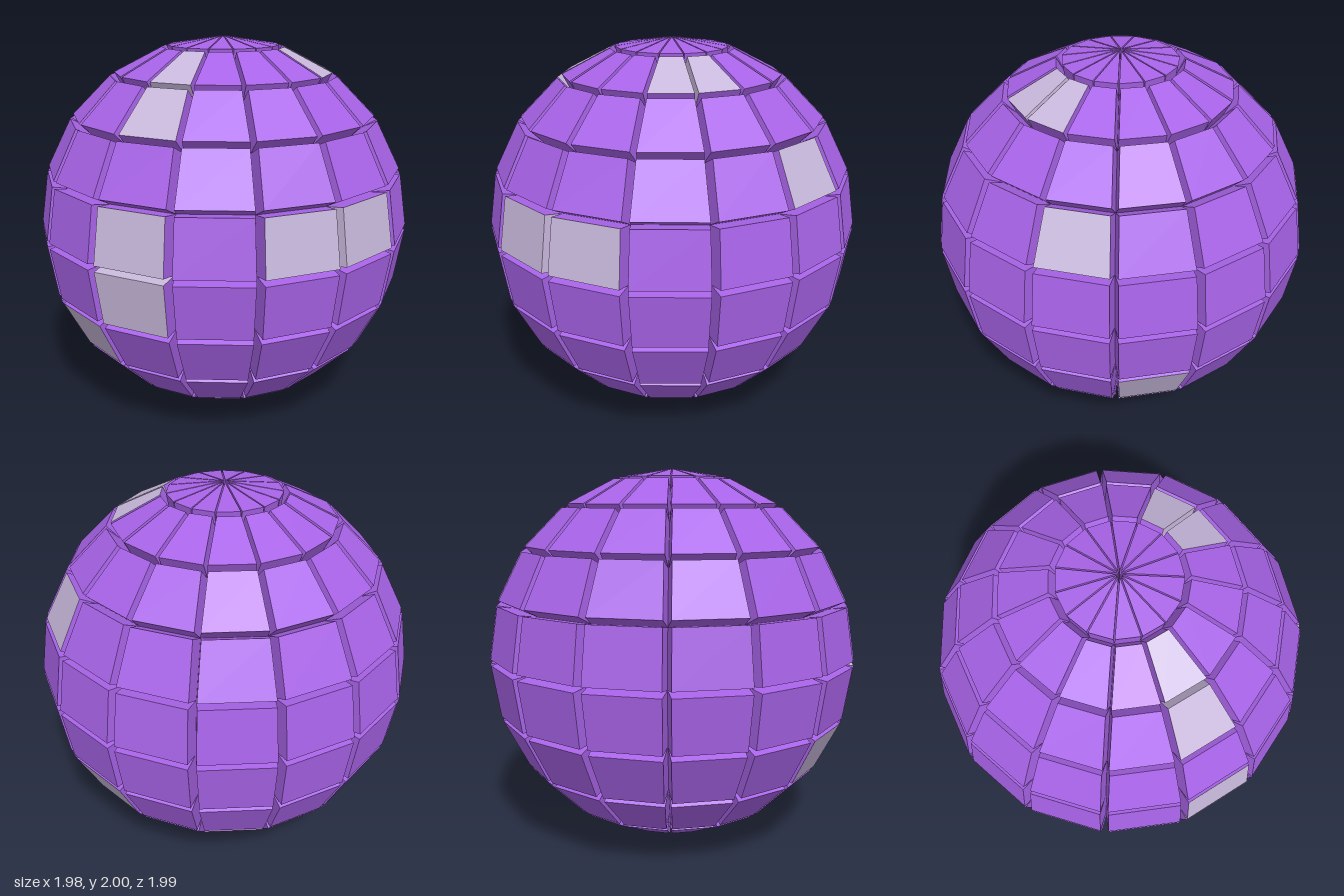
import * as THREE from 'three';

const COLS = 15, ROWS = 10;        // tiles around, tiles from pole to pole
const RADIUS = 0.901, DEPTH = 0.1; // faceted core, tile thickness
const CENTRE = new THREE.Vector3(-0.009, 1, 0);

// columns of the pale tiles in each row, counted from the top
const PALE = { 1: [0, 1, 5], 2: [5], 3: [14], 4: [2, 3, 5], 5: [5], 6: [6, 13] };
const isPale = (row, col) => (PALE[row] || []).includes((col + COLS) % COLS);

// point on the core; columns run from +x towards +z
function corePoint(row, col) {
  const t = (row / ROWS) * Math.PI, p = (col / COLS) * Math.PI * 2;
  return new THREE.Vector3(Math.sin(t) * Math.cos(p), Math.cos(t), Math.sin(t) * Math.sin(p))
    .multiplyScalar(RADIUS).add(CENTRE);
}

// adds a quad as two triangles, leaving out collapsed ones at the poles
function addQuad(list, a, b, c, d) {
  for (const tri of [[a, b, c], [a, c, d]]) {
    if (new THREE.Triangle(...tri).getArea() < 1e-7) continue;
    tri.forEach((v) => list.push(v.x, v.y, v.z));
  }
}

// one block pushed straight out from its facet of the core
function addTile(row, col, purple, pale) {
  const base = [corePoint(row, col), corePoint(row, col + 1),
    corePoint(row + 1, col + 1), corePoint(row + 1, col)];
  const out = base[2].clone().sub(base[0])
    .cross(base[3].clone().sub(base[1])).normalize().multiplyScalar(DEPTH);
  const top = base.map((v) => v.clone().add(out));
  const own = isPale(row, col);
  addQuad(own ? pale : purple, ...top);

  // side walls are pale only between two pale tiles
  const neighbours = [[row - 1, col], [row, col + 1], [row + 1, col], [row, col - 1]];
  neighbours.forEach(([r, c], i) => {
    const j = (i + 1) % 4;
    addQuad(own && isPale(r, c) ? pale : purple, base[i], base[j], top[j], top[i]);
  });
}

function makeMesh(name, positions, material) {
  const geometry = new THREE.BufferGeometry();
  geometry.setAttribute('position', new THREE.Float32BufferAttribute(positions, 3));
  geometry.computeVertexNormals();
  const mesh = new THREE.Mesh(geometry, material);
  mesh.name = name;
  return mesh;
}

export function createModel() {
  const group = new THREE.Group();
  group.name = 'mirrorBall';
  const purpleMaterial = new THREE.MeshStandardMaterial({ color: 0xa863e8, flatShading: true });
  const paleMaterial = new THREE.MeshStandardMaterial({ color: 0xc8b8dc, flatShading: true });

  // one mesh per ring of purple tiles, one for all the pale facets
  const pale = [];
  for (let row = 0; row < ROWS; row++) {
    const purple = [];
    for (let col = 0; col < COLS; col++) addTile(row, col, purple, pale);
    group.add(makeMesh(`tileRing${row + 1}`, purple, purpleMaterial));
  }
  group.add(makeMesh('paleTiles', pale, paleMaterial));
  return group;
}
